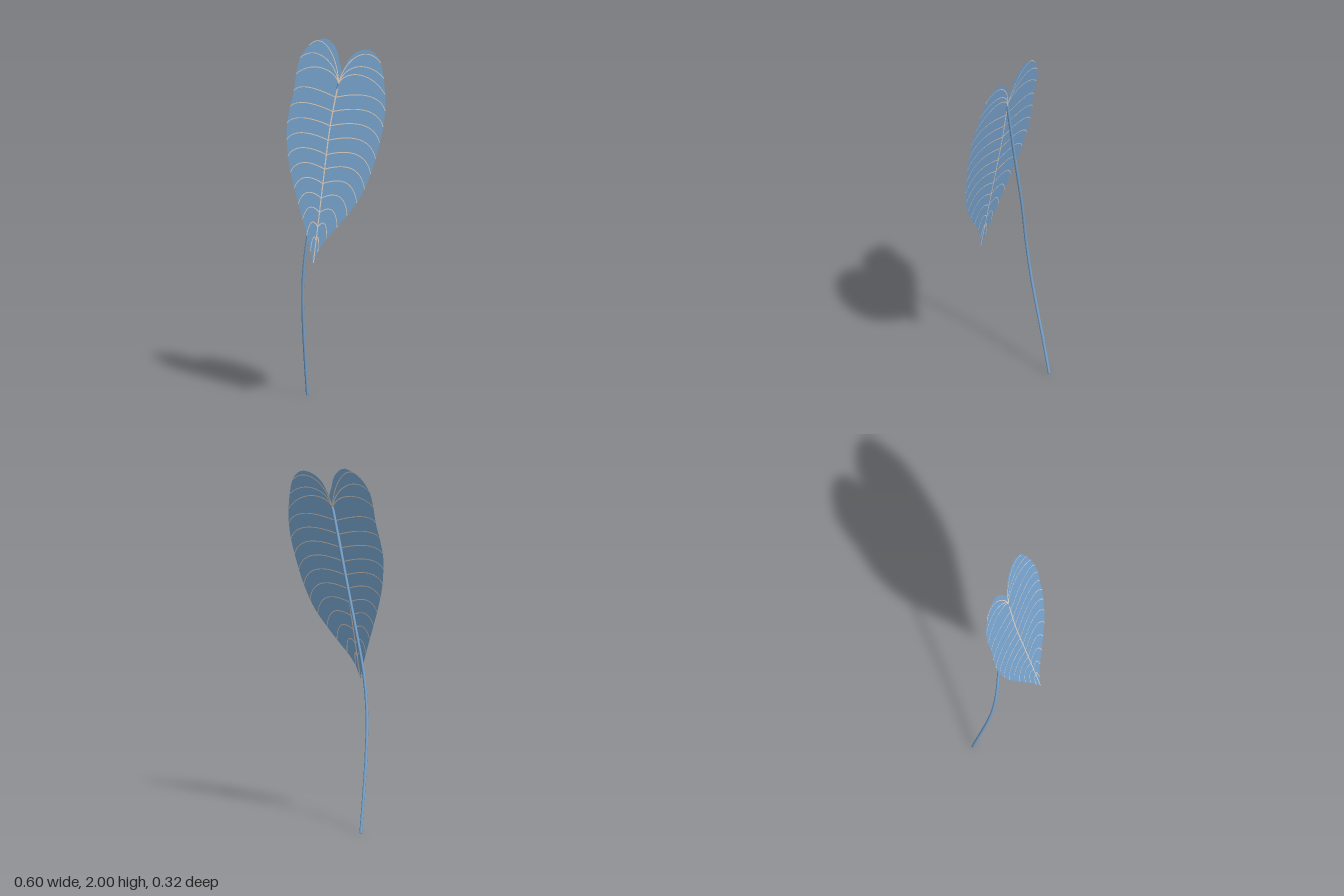
import * as THREE from 'three';

const v2 = (p) => p.map(([x, y]) => new THREE.Vector2(x, y));

// Half outlines of the blade, each from the notch to the tip
const leftEdge = new THREE.SplineCurve(v2([
  [0.01, 1.83], [-0.013, 1.885], [-0.035, 1.94], [-0.07, 1.98], [-0.12, 2.0], [-0.2, 1.965],
  [-0.256, 1.89], [-0.272, 1.81], [-0.277, 1.7], [-0.292, 1.6], [-0.298, 1.51], [-0.283, 1.405],
  [-0.256, 1.3], [-0.214, 1.19], [-0.156, 1.055], [-0.108, 0.945], [-0.071, 0.85], [-0.05, 0.79]]));
const rightEdge = new THREE.SplineCurve(v2([
  [0.01, 1.83], [0.024, 1.865], [0.045, 1.907], [0.087, 1.944], [0.145, 1.962], [0.193, 1.95],
  [0.235, 1.907], [0.262, 1.84], [0.284, 1.75], [0.297, 1.66], [0.295, 1.55], [0.274, 1.415],
  [0.246, 1.295], [0.198, 1.173], [0.135, 1.08], [0.066, 0.993], [0.008, 0.925], [-0.03, 0.86],
  [-0.05, 0.79]]));
const midCurve = new THREE.SplineCurve(v2([
  [-0.005, 1.77], [-0.02, 1.65], [-0.033, 1.5], [-0.04, 1.23], [-0.045, 1.0], [-0.05, 0.8]]));

// The blade is flat and leans forward towards its tip
const planeZ = (y) => 0.16 - 0.2142 * (y - 0.79);
function lean(geometry, offset = 0) {
  const p = geometry.attributes.position;
  for (let i = 0; i < p.count; i++) p.setZ(i, planeZ(p.getY(i)) + offset);
  geometry.computeVertexNormals();
  return geometry;
}

// Flat ribbon along a 2D curve, tapering from width w0 to w1
function ribbon(curve, w0, w1, steps, offset) {
  const pos = [], index = [];
  for (let i = 0; i <= steps; i++) {
    const t = i / steps, p = curve.getPoint(t), d = curve.getTangent(t);
    const h = (w0 + (w1 - w0) * t) / 2;
    pos.push(p.x - d.y * h, p.y + d.x * h, 0, p.x + d.y * h, p.y - d.x * h, 0);
    if (i < steps) {
      const a = i * 2;
      index.push(a, a + 1, a + 2, a + 1, a + 3, a + 2);
    }
  }
  const g = new THREE.BufferGeometry();
  g.setAttribute('position', new THREE.Float32BufferAttribute(pos, 3));
  g.setIndex(index);
  return lean(g, offset);
}

// Side vein k (0 at the lobe, 13 at the tip): leaves the midrib, arches, then drops to the margin
function veinCurve(edge, k) {
  const start = midCurve.getPointAt(Math.max(0, (k - 2) / 11 * 0.88));
  const end = edge.getPointAt(0.21 + 0.057 * k);
  const dx = end.x - start.x;
  const rise = [0.15, 0.11, 0.07][k] ?? 0.03;
  const lift = k < 3 ? 0.085 : 0.05;
  return new THREE.CubicBezierCurve(
    start,
    new THREE.Vector2(start.x + dx * (k < 3 ? 0.12 : 0.35), start.y + rise),
    new THREE.Vector2(start.x + dx * (k < 3 ? 0.65 : 0.85), Math.max(start.y, end.y) + lift),
    end);
}

export function createModel() {
  const model = new THREE.Group();
  model.name = 'leafOnStalk';
  const leafBlue = new THREE.MeshStandardMaterial({ color: 0x7ca9d5, side: THREE.DoubleSide });
  leafBlue.name = 'leafBlue';
  const veinCream = new THREE.MeshStandardMaterial({ color: 0xe8d6c6, side: THREE.DoubleSide });
  veinCream.name = 'veinCream';
  const add = (name, geometry, material, parent = model) => {
    const m = new THREE.Mesh(geometry, material);
    m.name = name;
    parent.add(m);
    return m;
  };

  // Blade
  const outline = [...leftEdge.getSpacedPoints(90), ...rightEdge.getSpacedPoints(90).reverse().slice(1, -1)];
  add('blade', lean(new THREE.ShapeGeometry(new THREE.Shape(outline))), leafBlue);

  // Midrib and side veins on both faces
  const veins = new THREE.Group();
  veins.name = 'veins';
  model.add(veins);
  for (const offset of [0.001, -0.001]) {
    add('midrib', ribbon(midCurve, 0.009, 0.006, 24, offset), veinCream, veins);
    for (const edge of [leftEdge, rightEdge]) {
      for (let k = 0; k < 14; k++) {
        add('sideVein', ribbon(veinCurve(edge, k), 0.0055, 0.004, 18, offset), veinCream, veins);
      }
    }
  }

  // Stalk, joining the blade from behind just under the notch
  const path = new THREE.CatmullRomCurve3([
    [-0.256, 0.004, -0.154], [-0.25, 0.22, -0.115], [-0.24, 0.44, -0.075], [-0.225, 0.65, -0.046],
    [-0.198, 0.86, -0.036], [-0.16, 1.06, -0.041], [-0.08, 1.42, -0.045], [-0.005, 1.766, -0.05],
  ].map((p) => new THREE.Vector3(...p)));
  add('stalk', new THREE.TubeGeometry(path, 60, 0.008, 10), leafBlue);
  for (const t of [0, 1]) {
    const cap = add('stalkEnd', new THREE.SphereGeometry(0.008, 10, 6), leafBlue);
    cap.scale.y = 0.5;
    cap.position.copy(path.getPoint(t));
  }
  return model;
}
